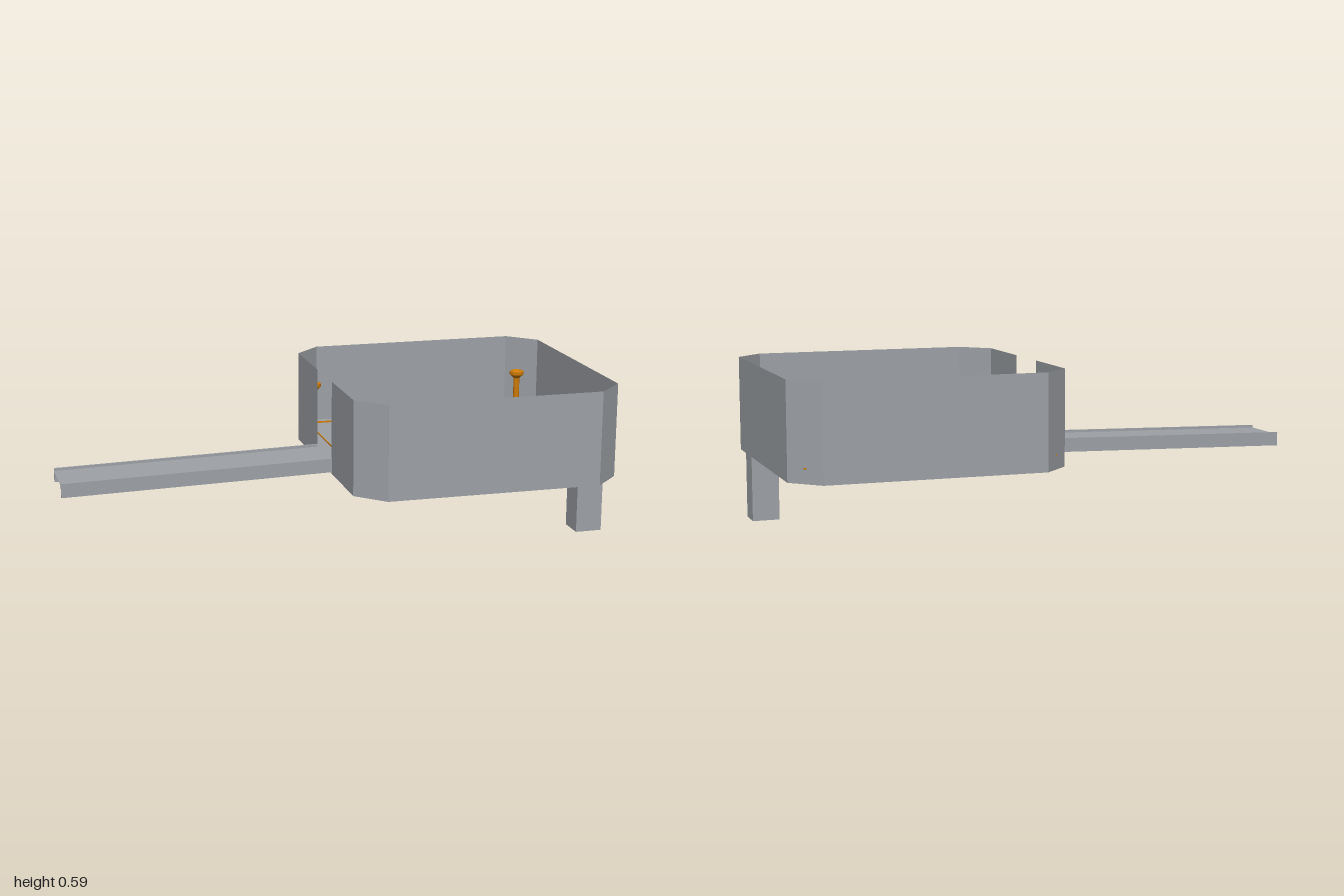
import * as THREE from 'three';

const FLOOR = 0.29, RIM = 0.59, SKIRT = 0.24;

const shell = new THREE.MeshStandardMaterial({ color: 0x9da1a6, side: THREE.DoubleSide });
shell.name = 'grey shell';
const copper = new THREE.MeshStandardMaterial({ color: 0xcc7a08, side: THREE.DoubleSide });
copper.name = 'orange copper';

function add(parent, name, geometry, material) {
  const mesh = new THREE.Mesh(geometry, material);
  mesh.name = name;
  parent.add(mesh);
  return mesh;
}

// Upright thin sheet following [x, z] points
function sheet(points, y0, y1) {
  const v = [];
  for (let i = 0; i < points.length - 1; i++) {
    const [ax, az] = points[i], [bx, bz] = points[i + 1];
    v.push(ax, y0, az, bx, y0, bz, bx, y1, bz, ax, y0, az, bx, y1, bz, ax, y1, az);
  }
  const g = new THREE.BufferGeometry();
  g.setAttribute('position', new THREE.Float32BufferAttribute(v, 3));
  g.computeVertexNormals();
  return g;
}

// Level thin sheet from an [x, z] outline
function plate(points, y) {
  const shape = new THREE.Shape(points.map(([x, z]) => new THREE.Vector2(x, -z)));
  return new THREE.ShapeGeometry(shape).rotateX(-Math.PI / 2).translate(0, y, 0);
}

// Flat bar lying on the floor between two [x, z] points
function bar(parent, name, a, b, width) {
  const dx = b[0] - a[0], dz = b[1] - a[1];
  const m = add(parent, name, new THREE.BoxGeometry(Math.hypot(dx, dz), 0.005, width), copper);
  m.position.set((a[0] + b[0]) / 2, FLOOR + 0.0025, (a[1] + b[1]) / 2);
  m.rotation.y = -Math.atan2(dz, dx);
}

export function createModel() {
  const model = new THREE.Group();
  model.name = 'trayWithRamp';

  // Bevelled tray wall, open where the ramp enters
  const half = [[0, 0.4], [0.1, 0.5], [0.9, 0.5], [1, 0.4]];
  const back = [[1, -0.4], [0.9, -0.5], [0.1, -0.5], [0, -0.4]];
  add(model, 'trayWall', sheet([[0, 0.105], ...half, ...back, [0, -0.105]], SKIRT, RIM), shell);

  // Floor with a square notch above the hollow leg
  const notch = [[1, 0.3], [0.9, 0.3], [0.9, 0.2], [1, 0.2]];
  add(model, 'trayFloor', plate([...half, ...notch, ...back], FLOOR), shell);

  // Hollow leg
  const leg = new THREE.Group();
  leg.name = 'leg';
  model.add(leg);
  add(leg, 'legSides', sheet(notch, 0, FLOOR), shell);
  add(leg, 'legOuterSide', sheet([[1, 0.2], [1, 0.3]], 0, SKIRT), shell);
  add(leg, 'legFoot', plate(notch, 0), shell);

  // Sloping ramp with two side rails
  const slope = (g) => {
    const p = g.attributes.position;
    for (let i = 0; i < p.count; i++) p.setY(i, p.getY(i) + 0.023 * p.getX(i));
    g.computeVertexNormals();
    return g;
  };
  const ramp = new THREE.Group();
  ramp.name = 'ramp';
  model.add(ramp);
  add(ramp, 'rampPlate', slope(plate([[-1, 0.1], [0, 0.1], [0, -0.1], [-1, -0.1]], FLOOR)), shell);
  for (const s of [1, -1]) {
    const rail = new THREE.BoxGeometry(1, 0.052, 0.008).translate(-0.5, 0.273, s * 0.105);
    add(ramp, 'rampRail', slope(rail), shell);
  }

  // Thin track around the floor
  const track = new THREE.Group();
  track.name = 'track';
  model.add(track);
  const path = [[0.05, -0.45], [0.95, -0.45], [0.95, 0.1], [0.85, 0.2], [0.85, 0.4],
    [0.79, 0.45], [0.1, 0.45], [0.05, 0.4]];
  for (let i = 0; i < path.length - 1; i++) bar(track, 'trackSegment', path[i], path[i + 1], 0.008);
  bar(track, 'trackSideUpper', [0.05, -0.45], [0.05, 0.12], 0.003);
  bar(track, 'trackSideLower', [0.05, 0.36], [0.05, 0.4], 0.003);

  // Contact marks beside the ramp
  const marks = new THREE.Group();
  marks.name = 'contactMarks';
  model.add(marks);
  bar(marks, 'crossBar', [0.026, 0.15], [0.074, 0.15], 0.016);
  bar(marks, 'crossBar', [0.05, 0.126], [0.05, 0.174], 0.016);
  for (const z of [0.22, 0.245, 0.27]) bar(marks, 'middleBar', [0.032, z], [0.068, z], 0.012);
  bar(marks, 'endBar', [0.026, 0.35], [0.074, 0.35], 0.016);

  // Flared posts in the two back corners
  const profile = [[0, 0], [0.014, 0], [0.012, 0.004], [0.012, 0.14], [0.028, 0.155],
    [0.028, 0.168], [0.018, 0.172], [0.01, 0.164], [0, 0.164]];
  for (const x of [0.07, 0.925]) {
    const g = new THREE.LatheGeometry(profile.map(([r, y]) => new THREE.Vector2(r, y)), 16);
    const post = add(model, 'cornerPost', g.toNonIndexed(), copper);
    post.geometry.computeVertexNormals();
    post.position.set(x, FLOOR, -0.43);
  }
  return model;
}
